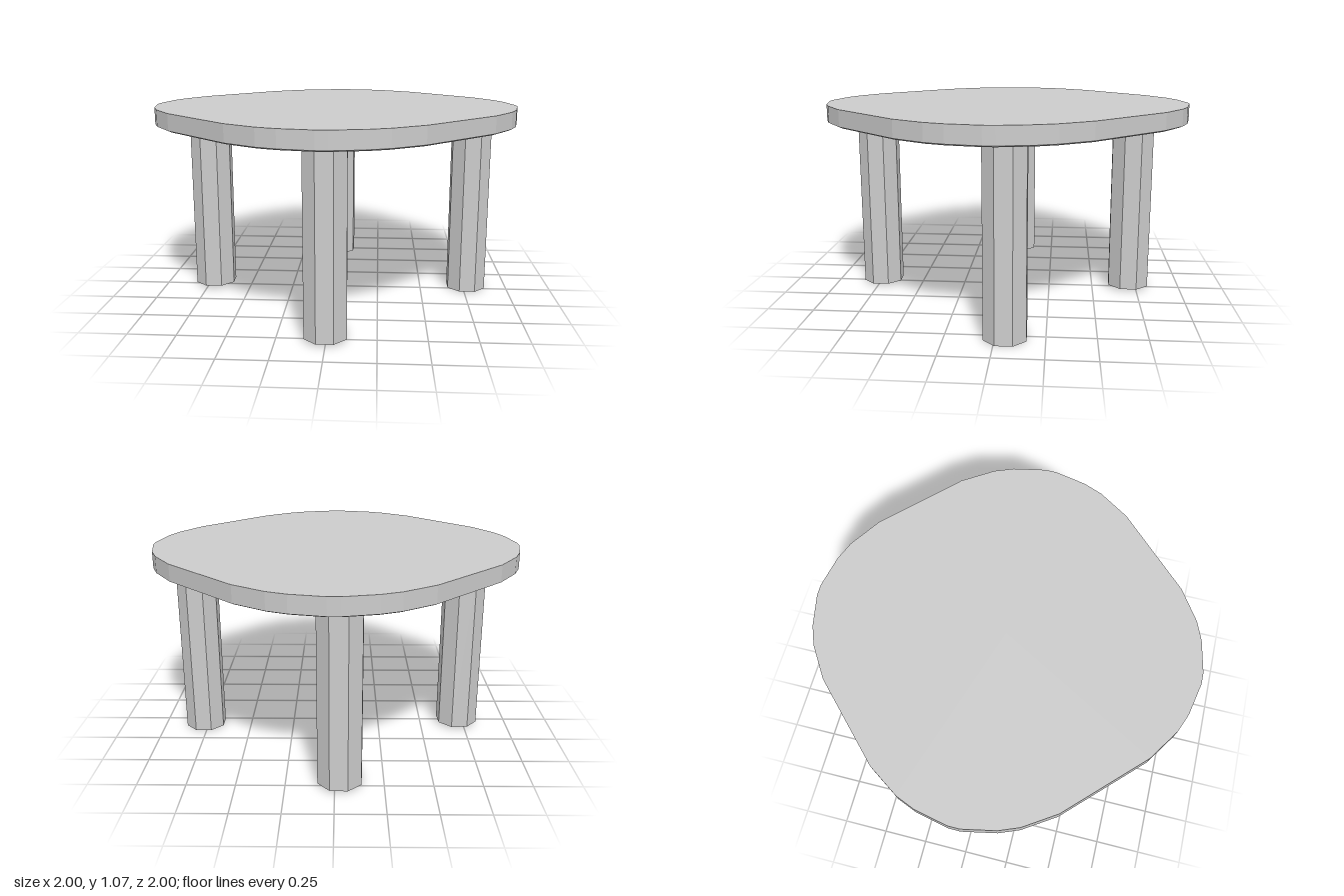
import * as THREE from 'three';

const material = new THREE.MeshStandardMaterial({ color: 0xcccccc, flatShading: true });

// One quarter of the table top outline as [x, z]; the rest is this turned by 90 degrees
const quarter = [
  [0.03, 1], [0.2, 0.965], [0.3, 0.925], [0.46, 0.82],
  [0.82, 0.46], [0.925, 0.3], [0.965, 0.2], [1, 0.03],
];

function makeTop() {
  const outline = [];
  let pts = quarter;
  for (let k = 0; k < 4; k++) {
    outline.push(...pts);
    pts = pts.map(([x, z]) => [z, -x]);
  }
  // Slab profile with a small bevel under the rim, bottom to top
  const profile = [[0, 0.973], [0.982, 0.973], [1, 0.981], [1, 1.07], [0, 1.07]]
    .map(([r, y]) => new THREE.Vector2(r, y));
  const geometry = new THREE.LatheGeometry(profile, outline.length);
  const pos = geometry.attributes.position;
  // Replace the circle by the rounded, diagonal-sided outline
  for (let i = 0; i < pos.count; i++) {
    const [x, z] = outline[Math.floor(i / profile.length) % outline.length];
    const r = profile[i % profile.length].x;
    pos.setX(i, x * r);
    pos.setZ(i, z * r);
  }
  geometry.computeVertexNormals();
  return geometry;
}

// Eight-sided legs: name, x, z, foot height, width across flats, turn
const legs = [
  ['frontLeg', -0.005, 0.735, 0.012, 0.212, 0.03],
  ['backLeg', -0.026, -0.708, 0.012, 0.222, -0.05],
  ['leftLeg', 0.767, -0.051, 0, 0.211, 0],
  ['rightLeg', -0.713, -0.024, 0.016, 0.218, 0.05],
];

export function createModel() {
  const table = new THREE.Group();
  table.name = 'table';

  const top = new THREE.Mesh(makeTop(), material);
  top.name = 'tableTop';
  table.add(top);

  for (const [name, x, z, foot, width, turn] of legs) {
    const radius = width / 2 / Math.cos(Math.PI / 8);
    const height = 0.976 - foot;
    const leg = new THREE.Mesh(new THREE.CylinderGeometry(radius, radius, height, 8), material);
    leg.position.set(x, foot + height / 2, z);
    leg.rotation.y = Math.PI / 8 + turn;
    leg.name = name;
    table.add(leg);
  }
  return table;
}
